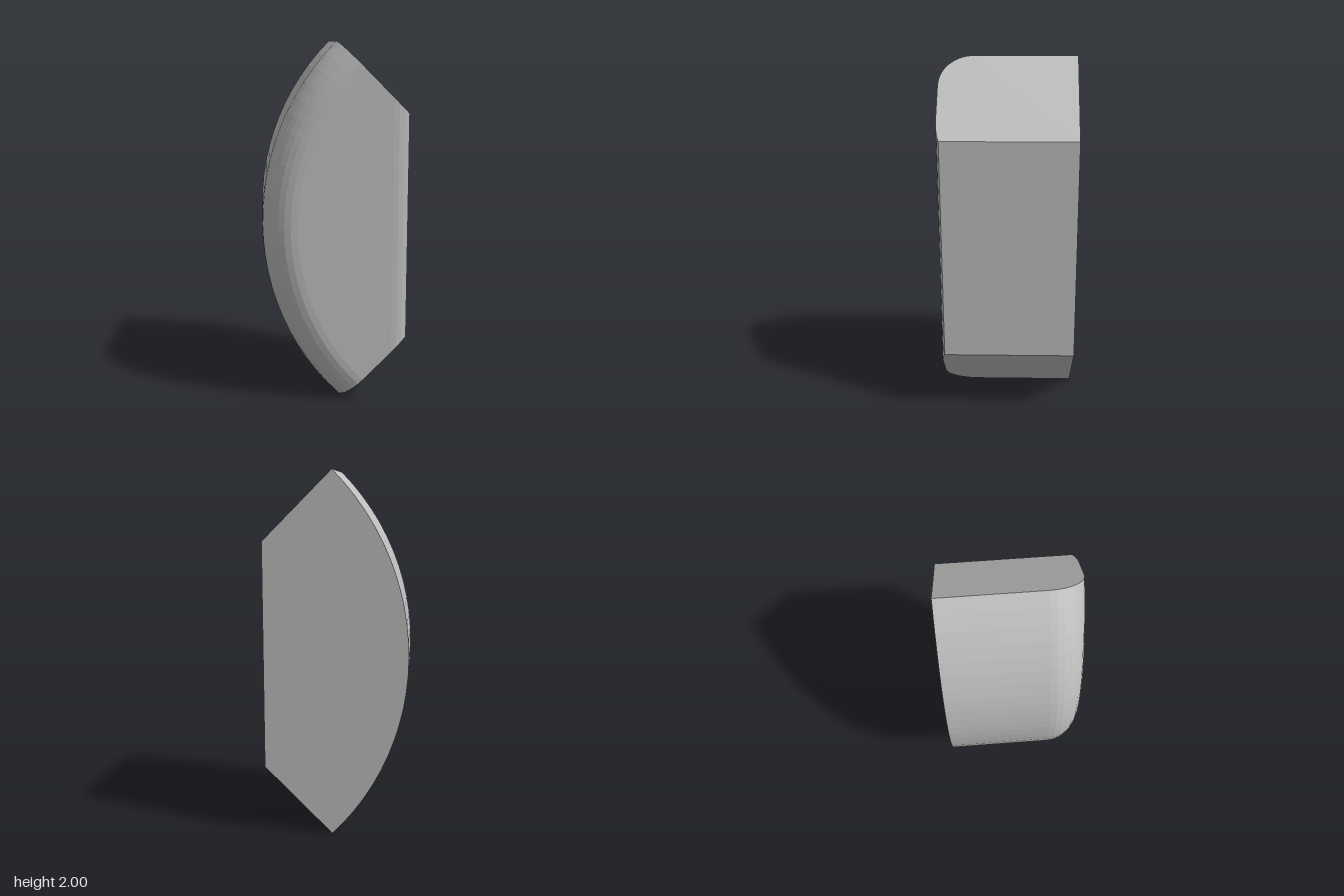
import * as THREE from 'three';

const CX = 1.017;      // axis of the quarter arc
const R = 1.412;       // outer radius
const DEPTH = 0.375;   // half depth
const ROUND = 0.19;    // edge rounding radius
const INNER = 0.395;   // flat inner side
const STEPS = 24;      // facets along the arc

// Cross-section points; each gives its place on the radial plane at angle t
function makeProfile() {
  const flat = (x, z) => (t) => [x, 1 + (CX - x) * Math.tan(t), z];
  const arc = (r, z) => (t) => [CX - r * Math.cos(t), 1 + r * Math.sin(t), z];
  const points = [flat(INNER, -DEPTH)];
  // shallow rounding along the straight inner edge
  const start = Math.asin((INNER - 0.31) / ROUND);
  for (let i = 0; i <= 3; i++) {
    const a = start * (1 - i / 3);
    points.push(flat(0.31 + ROUND * Math.sin(a), DEPTH - ROUND + ROUND * Math.cos(a)));
  }
  // full rounding along the curved outer edge
  for (let i = 0; i <= 8; i++) {
    const a = (i / 8) * Math.PI / 2;
    points.push(arc(R - ROUND + ROUND * Math.sin(a), DEPTH - ROUND + ROUND * Math.cos(a)));
  }
  points.push(arc(R, -DEPTH));
  return points;
}

function sweepGeometry() {
  const profile = makeProfile();
  const n = profile.length;
  const positions = [];
  const index = [];
  for (let i = 0; i <= STEPS; i++) {
    const t = (i / STEPS - 0.5) * Math.PI / 2;
    for (const p of profile) positions.push(...p(t));
  }
  // sides
  for (let i = 0; i < STEPS; i++) {
    for (let j = 0; j < n; j++) {
      const k = (j + 1) % n;
      const a = i * n + j, b = i * n + k, c = b + n, d = a + n;
      index.push(a, d, c, a, c, b);
    }
  }
  // slanted end faces
  const top = STEPS * n;
  for (let k = 1; k < n - 1; k++) {
    index.push(0, k, k + 1);
    index.push(top, top + k + 1, top + k);
  }
  const indexed = new THREE.BufferGeometry();
  indexed.setAttribute('position', new THREE.Float32BufferAttribute(positions, 3));
  indexed.setIndex(index);
  const geometry = indexed.toNonIndexed();
  geometry.computeVertexNormals();
  return geometry;
}

export function createModel() {
  const group = new THREE.Group();
  group.name = 'curvedCornerBlock';
  const grey = new THREE.MeshStandardMaterial({ color: 0xc0c0c0 });
  grey.name = 'light grey';
  const block = new THREE.Mesh(sweepGeometry(), grey);
  block.name = 'roundedArcBlock';
  group.add(block);
  return group;
}
